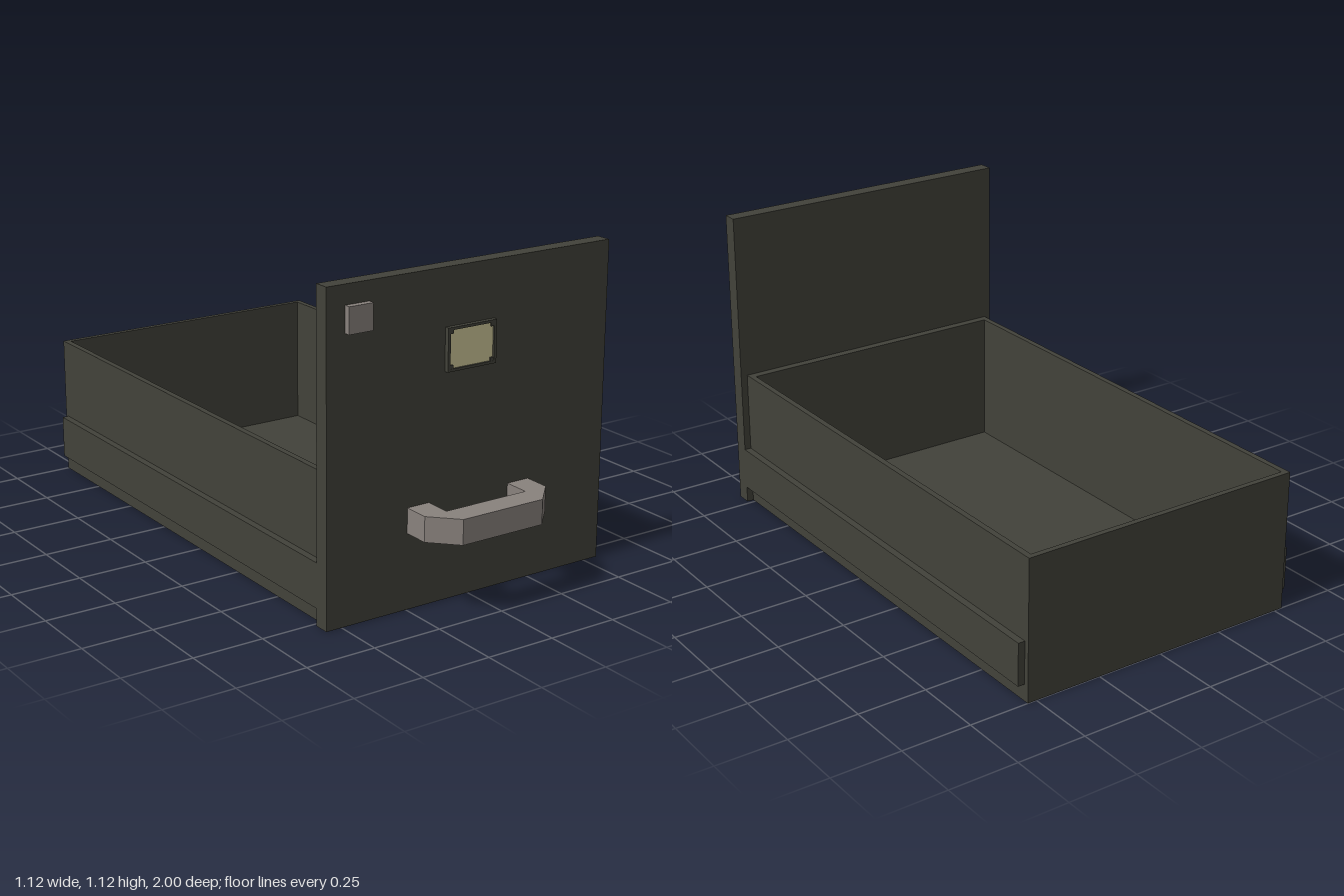
import * as THREE from 'three';

export function createModel() {
  const model = new THREE.Group();
  model.name = 'drawer';

  const mat = (name, color) => {
    const m = new THREE.MeshStandardMaterial({ color });
    m.name = name;
    return m;
  };
  const darkSteel = mat('dark steel', 0x42423a);
  const greyMetal = mat('grey metal', 0x89827d);
  const paper = mat('cream paper', 0xcdc698);

  // Box given by its lower and upper limits on each axis
  const box = (name, material, [x0, x1], [y0, y1], [z0, z1], parent = model) => {
    const mesh = new THREE.Mesh(new THREE.BoxGeometry(x1 - x0, y1 - y0, z1 - z0), material);
    mesh.position.set((x0 + x1) / 2, (y0 + y1) / 2, (z0 + z1) / 2);
    mesh.name = name;
    parent.add(mesh);
    return mesh;
  };

  // Closed outline pulled along z
  const extrude = (points, depth, hole) => {
    const shape = new THREE.Shape(points.map(p => new THREE.Vector2(...p)));
    if (hole) shape.holes.push(new THREE.Path(hole.map(p => new THREE.Vector2(...p))));
    return new THREE.ExtrudeGeometry(shape, { depth, bevelEnabled: false });
  };
  const rect = (x0, x1, y0, y1) => [[x0, y0], [x1, y0], [x1, y1], [x0, y1]];

  // Tall front panel
  box('frontPanel', darkSteel, [-0.558, 0.558], [0, 1.117], [0.765, 0.82]);

  // Open tray: a rim of four walls over a floor
  const walls = new THREE.Mesh(
    extrude(rect(-0.533, 0.533, -0.765, 1), 0.485, rect(-0.512, 0.512, -0.735, 0.98)), darkSteel);
  walls.rotation.x = -Math.PI / 2;
  walls.position.y = 0.025;
  walls.name = 'trayWalls';
  model.add(walls);
  box('trayFloor', darkSteel, [-0.533, 0.533], [0, 0.025], [-1, 0.765]);

  // Sliding rails on both sides
  for (const s of [-1, 1]) {
    const xs = [s * 0.533, s * 0.558].sort((a, b) => a - b);
    box(s > 0 ? 'leftRail' : 'rightRail', darkSteel, xs, [0.06, 0.215], [-0.982, 0.765]);
  }

  // Chamfered pull handle, outlined from above
  const outline = [
    [-0.248, 0.82], [-0.163, 0.82], [-0.163, 0.912], [0.157, 0.912], [0.157, 0.82],
    [0.243, 0.82], [0.243, 0.912], [0.157, 1], [-0.163, 1], [-0.248, 0.912],
  ].map(([x, z]) => [x, -z]);
  const handle = new THREE.Mesh(extrude(outline, 0.087), greyMetal);
  handle.rotation.x = -Math.PI / 2;
  handle.position.y = 0.263;
  handle.name = 'handle';
  model.add(handle);

  // Lock plate
  box('lock', greyMetal, [-0.49, -0.4], [0.963, 1.051], [0.82, 0.842]);

  // Label holder: slim frame with corner tabs around a paper card
  const label = new THREE.Group();
  label.name = 'labelHolder';
  model.add(label);
  const frame = new THREE.Mesh(
    extrude(rect(-0.109, 0.084, 0.778, 0.923), 0.016, rect(-0.099, 0.074, 0.787, 0.914)), darkSteel);
  frame.position.z = 0.82;
  frame.name = 'labelFrame';
  label.add(frame);
  box('labelCard', paper, [-0.099, 0.074], [0.787, 0.914], [0.82, 0.829], label);
  for (const x of [-0.099, 0.062]) {
    for (const y of [0.787, 0.902]) {
      box('labelCornerTab', darkSteel, [x, x + 0.012], [y, y + 0.012], [0.829, 0.835], label);
    }
  }

  return model;
}
